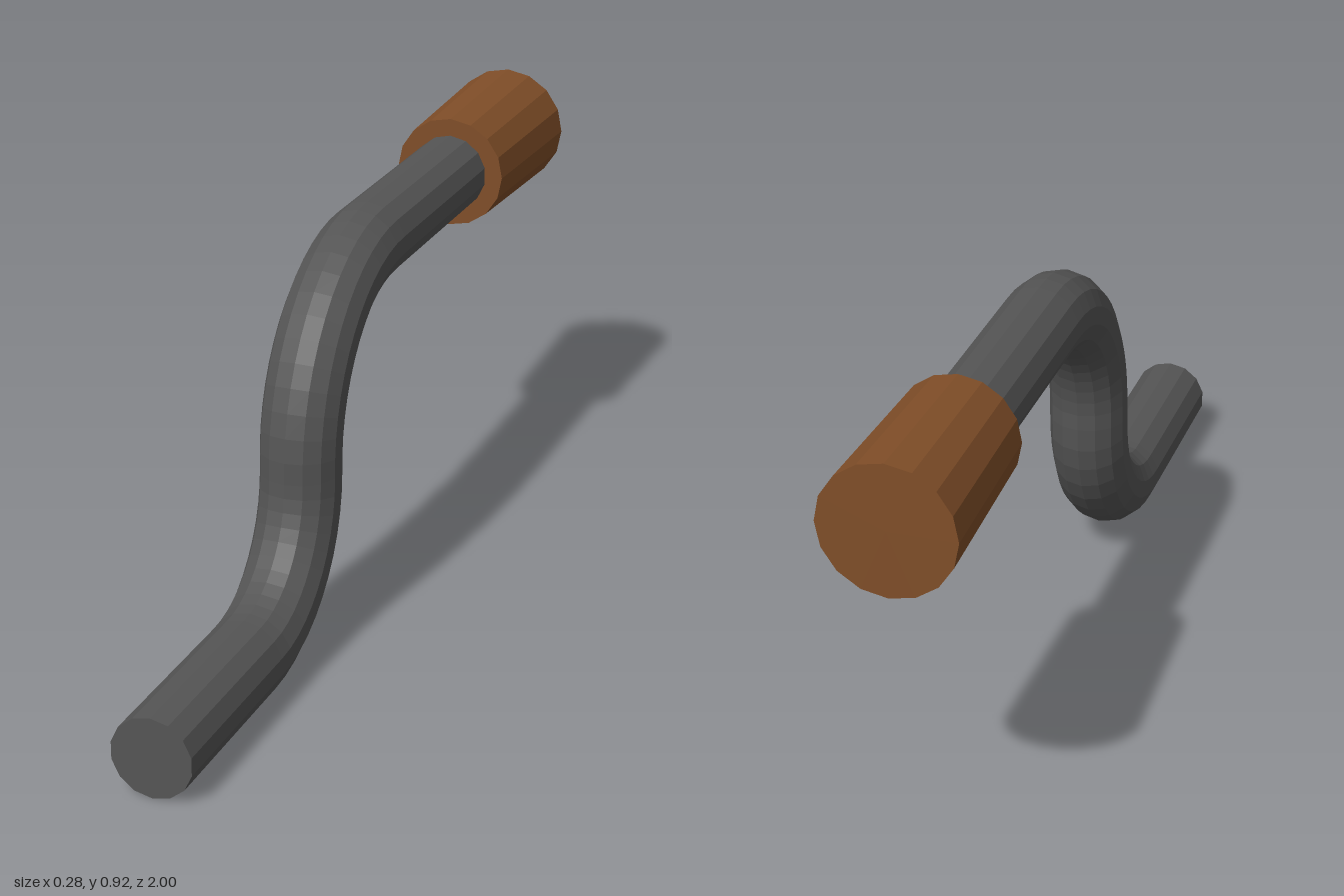
import * as THREE from 'three';

const R = 0.088;       // rod radius
const LOW = R;         // height of the lower rod axis
const HIGH = 0.778;    // height of the upper rod axis
const Z_MID = 0.275;   // where the rod runs straight up
const SIDES = 14;

const p = (y, z) => new THREE.Vector3(0, y, z);

// Quarter bend from a to b, with the corner c between them
function bend(a, c, b) {
  const k = 0.5523;
  return new THREE.CubicBezierCurve3(a, a.clone().lerp(c, k), b.clone().lerp(c, k), b);
}

export function createModel() {
  const group = new THREE.Group();
  const metal = new THREE.MeshStandardMaterial({ color: 0x555555, flatShading: true });
  const wood = new THREE.MeshStandardMaterial({ color: 0x804e28, flatShading: true });

  const add = (name, geometry, material) => {
    const mesh = new THREE.Mesh(geometry, material);
    mesh.name = name;
    group.add(mesh);
    return mesh;
  };

  // Bent crank rod: straight, bend up, bend back, straight
  const a = p(LOW, 0.57), m1 = p(0.39, Z_MID), m2 = p(0.41, Z_MID), b = p(HIGH, -0.09);
  const path = new THREE.CurvePath();
  path.add(new THREE.LineCurve3(p(LOW, 1), a));
  path.add(bend(a, p(LOW, Z_MID), m1));
  path.add(new THREE.LineCurve3(m1, m2));
  path.add(bend(m2, p(HIGH, Z_MID), b));
  path.add(new THREE.LineCurve3(b, p(HIGH, -0.65)));
  add('crankRod', new THREE.TubeGeometry(path, 48, R, SIDES, false), metal);

  // Flat end of the rod
  const cap = add('rodEnd', new THREE.CircleGeometry(R, SIDES, Math.PI / 2), metal);
  cap.position.set(0, LOW, 1);

  // Grip, slightly wider at the back
  const grip = add('grip', new THREE.CylinderGeometry(0.128, 0.14, 0.4, 16), wood);
  grip.rotation.x = Math.PI / 2;
  grip.position.set(0, HIGH, -0.8);

  return group;
}
